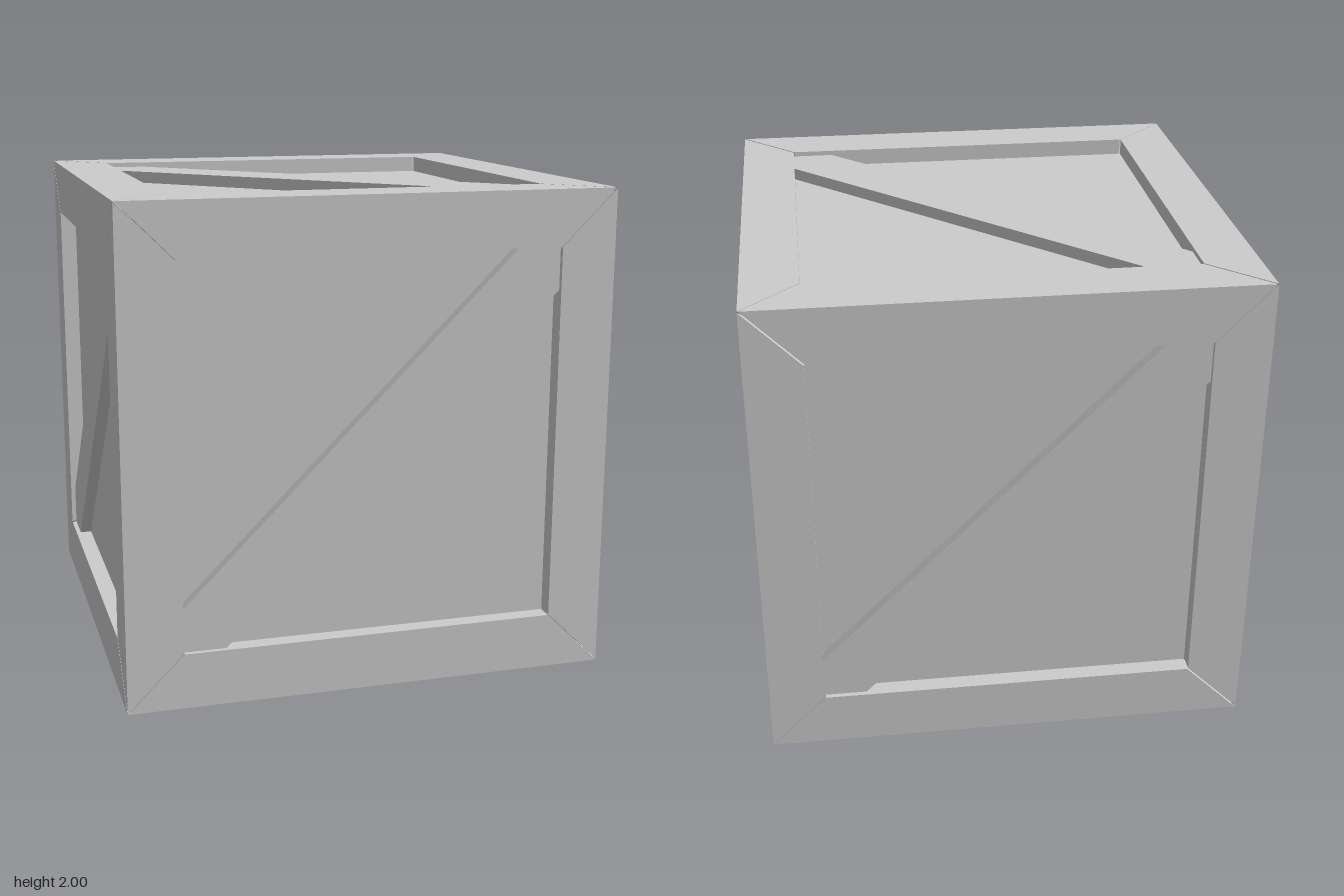
import * as THREE from 'three';

const OUT = 1;         // half size of the crate
const OPEN = 0.773;    // half size of each panel opening
const PANEL = 0.93;    // distance of the panels from the centre
const SLAT = 0.98;     // distance of the slat faces from the centre
const GAP = 0.004;     // half the seam at the mitred corners

const material = new THREE.MeshStandardMaterial({ color: 0xcccccc, flatShading: true });

const shapeOf = (points) => new THREE.Shape(points.map(([x, y]) => new THREE.Vector2(x, y)));

// L-shaped edge beam along z, mitred at both ends
function beamGeometry() {
  const profile = shapeOf([
    [OUT, OUT], [OPEN, OUT], [OPEN, PANEL], [PANEL, PANEL], [PANEL, OPEN], [OUT, OPEN],
  ]);
  const geometry = new THREE.ExtrudeGeometry(profile, { depth: 1, bevelEnabled: false });
  const p = geometry.attributes.position;
  for (let i = 0; i < p.count; i++) {
    const end = Math.min(p.getX(i), p.getY(i)) - GAP;
    p.setZ(i, p.getZ(i) > 0.5 ? end : -end);
  }
  geometry.computeVertexNormals();
  return geometry;
}

// Diagonal slat cut to fit into the corners of the opening
function slatGeometry() {
  const a = OPEN, b = 0.598;
  const outline = shapeOf([[-a, -a], [-b, -a], [a, b], [a, a], [b, a], [-a, -b]]);
  const geometry = new THREE.ExtrudeGeometry(outline, { depth: SLAT - PANEL, bevelEnabled: false });
  return geometry.translate(0, 0, PANEL);
}

export function createModel() {
  const model = new THREE.Group();
  model.name = 'crate';
  const body = new THREE.Group();
  body.name = 'crateBody';
  body.position.y = OUT;
  model.add(body);

  const add = (geometry, name, parent = body) => {
    const mesh = new THREE.Mesh(geometry, material);
    mesh.name = name;
    parent.add(mesh);
    return mesh;
  };

  // Inner box whose faces are the recessed panels
  add(new THREE.BoxGeometry(2 * PANEL, 2 * PANEL, 2 * PANEL), 'panels');

  // Four beams along each axis
  const beam = beamGeometry();
  const axes = [['depth', 0, 0], ['width', 0, Math.PI / 2], ['upright', Math.PI / 2, 0]];
  for (const [name, rx, ry] of axes) {
    const set = new THREE.Group();
    set.name = name + 'Beams';
    set.rotation.set(rx, ry, 0);
    for (let i = 0; i < 4; i++) add(beam, name + 'Beam', set).rotation.z = i * Math.PI / 2;
    body.add(set);
  }

  // One slat per face
  const slat = slatGeometry();
  ['front', 'right', 'back', 'left'].forEach((side, i) => {
    add(slat, side + 'Slat').rotation.y = i * Math.PI / 2;
  });
  add(slat, 'topSlat').rotation.set(-Math.PI / 2, 0, Math.PI / 2);
  add(slat, 'bottomSlat').rotation.set(Math.PI / 2, 0, Math.PI / 2);

  return model;
}
